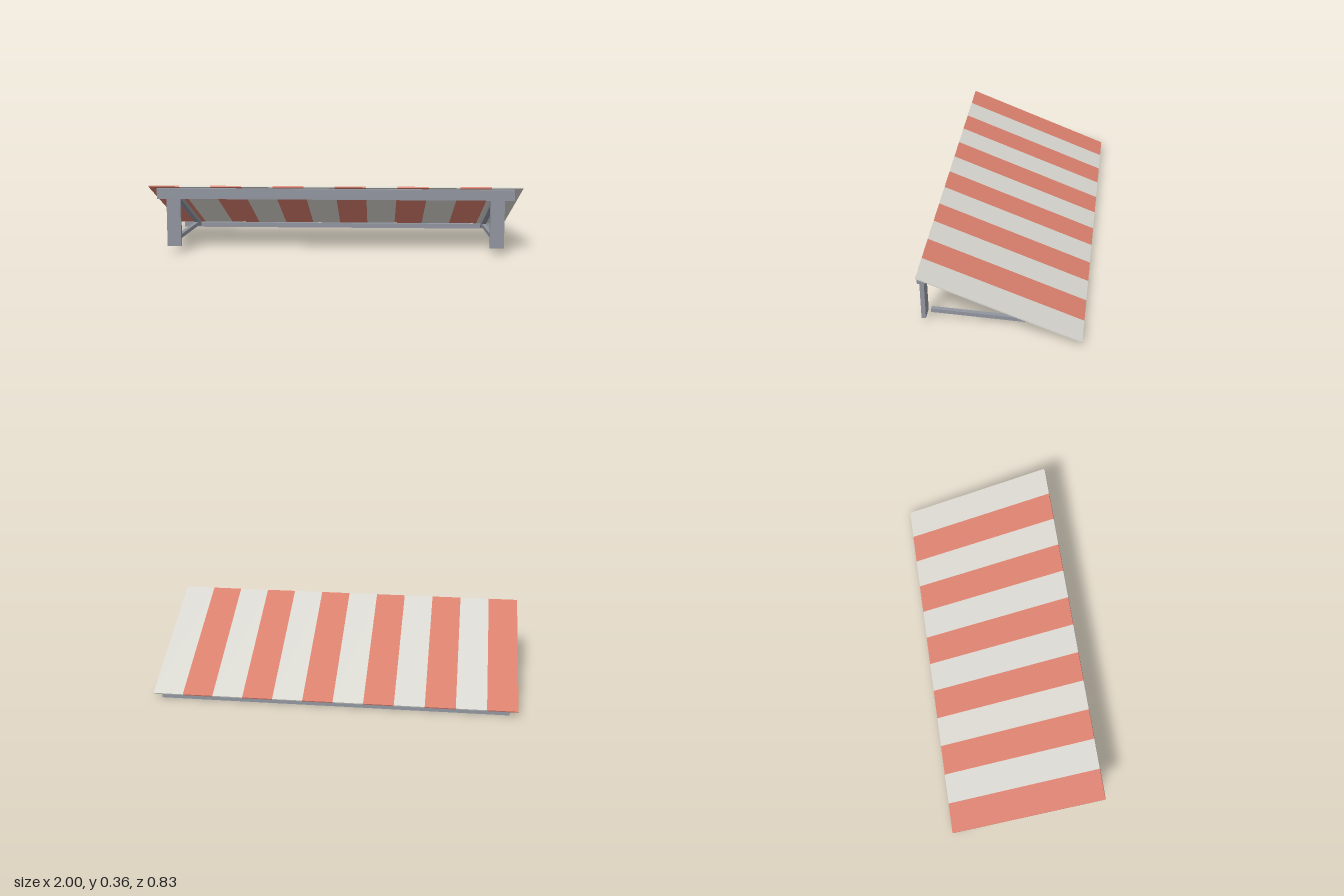
import * as THREE from 'three';

const red = new THREE.MeshStandardMaterial({ name: 'coral red', color: 0xdb806e });
const cream = new THREE.MeshStandardMaterial({ name: 'off white', color: 0xd9d7d0 });
const metal = new THREE.MeshStandardMaterial({ name: 'frame grey', color: 0x91959f });

export function createModel() {
  const model = new THREE.Group();
  model.name = 'awning';

  // Upright box given by its centre and size
  const block = (name, size, centre) => {
    const mesh = new THREE.Mesh(new THREE.BoxGeometry(...size), metal);
    mesh.name = name;
    mesh.position.set(...centre);
    model.add(mesh);
  };

  // Box running between two points of a plane x = constant, each given as [z, y]
  const slopedBar = (name, x, [z0, y0], [z1, y1], width, thickness, material) => {
    const length = Math.hypot(z1 - z0, y1 - y0);
    const mesh = new THREE.Mesh(new THREE.BoxGeometry(width, thickness, length), material);
    mesh.name = name;
    mesh.position.set(x, (y0 + y1) / 2, (z0 + z1) / 2);
    mesh.rotation.x = -Math.atan2(y1 - y0, z1 - z0);
    model.add(mesh);
  };

  // Striped canopy sheet
  const stripes = 12;
  const stripeWidth = 2 / stripes;
  for (let i = 0; i < stripes; i++) {
    slopedBar('canopyStripe' + (i + 1), -1 + (i + 0.5) * stripeWidth,
      [-0.414, 0.03], [0.414, 0.361], stripeWidth, 0.007, i % 2 ? cream : red);
  }

  // Long rails along the high front and low back edges
  block('frontBeam', [1.91, 0.056, 0.039], [0, 0.32, 0.398]);
  block('backRail', [1.91, 0.028, 0.028], [0, 0.015, -0.385]);

  // Post, rafter and brace at each end
  for (const [side, x] of [['left', 0.866], ['right', -0.866]]) {
    block(side + 'Post', [0.075, 0.259, 0.023], [x, 0.1635, 0.406]);
    slopedBar(side + 'Rafter', x, [-0.376, 0.021], [0.366, 0.32], 0.027, 0.026, metal);
    slopedBar(side + 'Brace', x, [-0.375, 0.032], [0.371, 0.066], 0.022, 0.022, metal);
  }

  return model;
}
